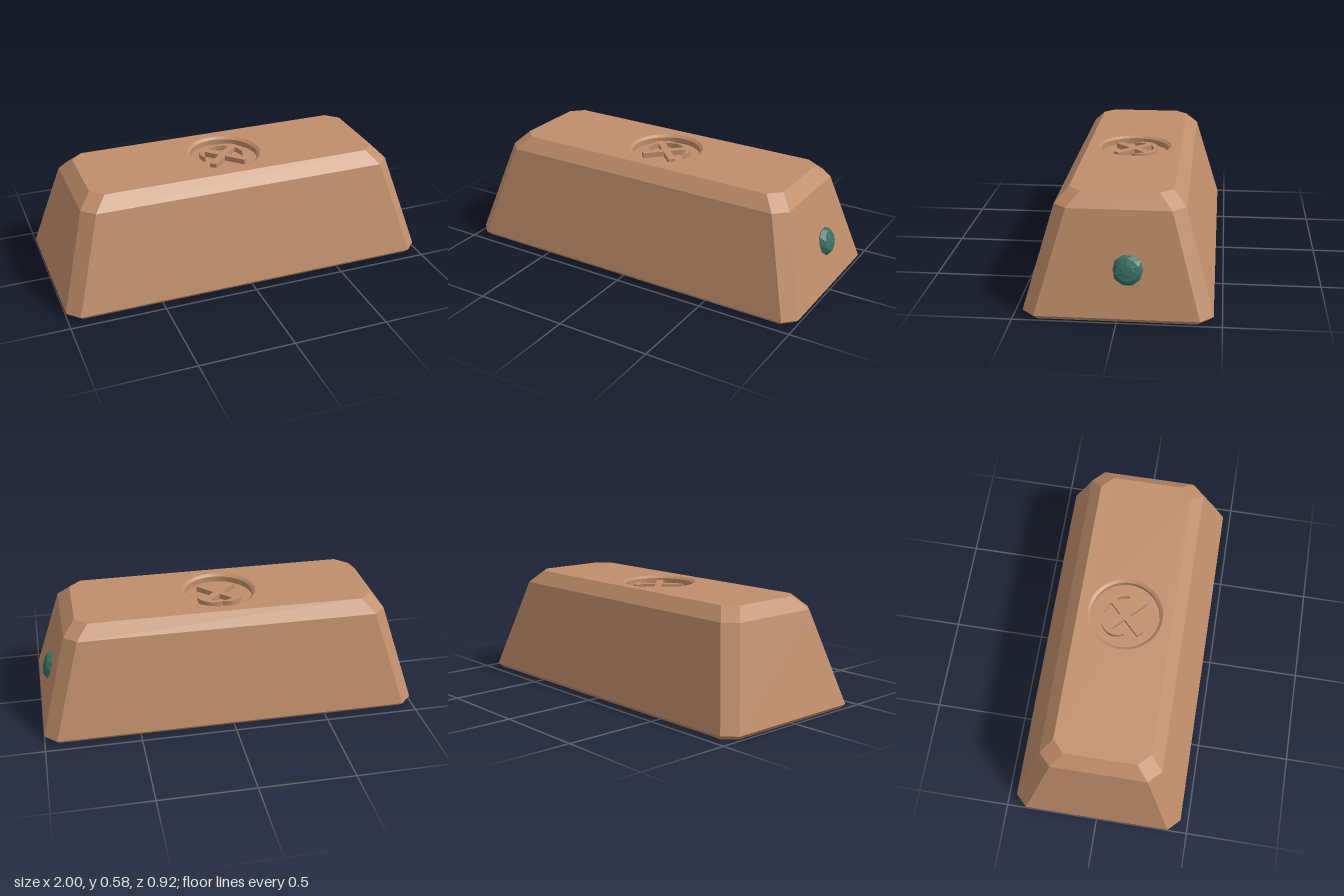
import * as THREE from 'three';
import { toCreasedNormals } from 'three/addons/utils/BufferGeometryUtils.js';

const TOP = 0.585;
const SEAL_R = 0.2;
const SEAL_FLOOR = TOP - 0.042;

// Corners of a rectangle with cut corners, counter-clockwise from above
function octagon(hx, hz, c) {
  return [
    [-hx + c, -hz], [hx - c, -hz], [hx, -hz + c], [hx, hz - c],
    [hx - c, hz], [-hx + c, hz], [-hx, hz - c], [-hx, -hz + c],
  ];
}

// Faceted surface through rings of points; optionally closed underneath
function loft(rings, closeBottom) {
  const pos = [];
  const tri = (...pts) => pts.forEach((p) => pos.push(...p));
  const n = rings[0].length;
  for (let r = 0; r < rings.length - 1; r++) {
    const a = rings[r], b = rings[r + 1];
    for (let i = 0; i < n; i++) {
      const j = (i + 1) % n;
      tri(a[i], a[j], b[j]);
      tri(a[i], b[j], b[i]);
    }
  }
  if (closeBottom) {
    const a = rings[0];
    for (let i = 1; i < n - 1; i++) tri(a[0], a[i + 1], a[i]);
  }
  const g = new THREE.BufferGeometry();
  g.setAttribute('position', new THREE.Float32BufferAttribute(pos, 3));
  g.computeVertexNormals();
  return g;
}

export function createModel() {
  const group = new THREE.Group();
  const copper = new THREE.MeshStandardMaterial({ color: 0xc08e6b });
  copper.name = 'copper';
  const teal = new THREE.MeshStandardMaterial({ color: 0x3a7064 });
  teal.name = 'teal';

  const add = (parent, name, geometry, material) => {
    const m = new THREE.Mesh(geometry, material);
    m.name = name;
    parent.add(m);
    return m;
  };

  // Tapered ingot with bevelled edges: height, half width, half depth, corner cut
  const levels = [
    [0, 0.98, 0.438, 0.058],
    [0.022, 1.0, 0.458, 0.063],
    [0.518, 0.858, 0.318, 0.065],
    [TOP, 0.793, 0.253, 0.063],
  ];
  const rings = levels.map(([y, hx, hz, c]) => octagon(hx, hz, c).map(([x, z]) => [x, y, -z]));
  add(group, 'ingotBody', loft(rings, true), copper);

  // Top face with a round opening for the seal
  const topShape = new THREE.Shape(octagon(...levels[3].slice(1)).map(([x, y]) => new THREE.Vector2(x, y)));
  const opening = new THREE.Path();
  opening.absarc(0, 0, SEAL_R, 0, Math.PI * 2, true);
  topShape.holes.push(opening);
  const topFace = add(group, 'topFace', new THREE.ShapeGeometry(topShape, 24).rotateX(-Math.PI / 2), copper);
  topFace.position.y = TOP;

  // Sunken round seal with a bevelled rim
  const recess = new THREE.LatheGeometry([
    new THREE.Vector2(SEAL_R, TOP),
    new THREE.Vector2(0.184, TOP - 0.012),
    new THREE.Vector2(0.184, SEAL_FLOOR),
    new THREE.Vector2(0, SEAL_FLOOR),
  ], 48);
  add(group, 'sealRecess', toCreasedNormals(recess, 0.5), copper);

  // Two crossed picks in relief on the seal floor
  const handle = new THREE.Shape([[-0.019, -0.132], [0.019, -0.132], [0.019, 0.12], [-0.019, 0.12]]
    .map(([x, y]) => new THREE.Vector2(x, y)));
  const head = new THREE.Shape();
  head.moveTo(-0.083, 0.07);
  head.quadraticCurveTo(-0.04, 0.105, 0, 0.105);
  head.quadraticCurveTo(0.04, 0.105, 0.083, 0.07);
  head.quadraticCurveTo(0.06, 0.137, 0, 0.137);
  head.quadraticCurveTo(-0.06, 0.137, -0.083, 0.07);
  for (const side of [-1, 1]) {
    const pick = new THREE.Group();
    pick.name = side > 0 ? 'leftPick' : 'rightPick';
    for (const [name, shape] of [['pickHandle', handle], ['pickHead', head]]) {
      const g = new THREE.ExtrudeGeometry(shape, { depth: 0.028, bevelEnabled: false, curveSegments: 6 });
      add(pick, name, g.rotateX(-Math.PI / 2), copper);
    }
    pick.position.y = SEAL_FLOOR;
    pick.rotation.y = -side * Math.PI / 4;
    group.add(pick);
  }

  // Faceted patch of patina bulging from the left end: radius, height
  const sides = 10;
  const patchRings = [[0.07, -0.015], [0.074, 0.006], [0.055, 0.029], [0.025, 0.035], [0, 0.036]]
    .map(([r, y], k) => Array.from({ length: sides }, (_, i) => {
      const a = ((i + (k % 2) * 0.5) / sides) * Math.PI * 2;
      const rr = r * (1 + 0.04 * Math.sin(i * 2.3 + k));
      return [rr * Math.cos(a), y, -rr * Math.sin(a)];
    }));
  const patch = add(group, 'patinaPatch', loft(patchRings, true), teal);
  patch.position.set(0.935, 0.247, -0.05);
  patch.rotation.z = -Math.PI / 2 + Math.atan2(0.142, 0.496);

  return group;
}
